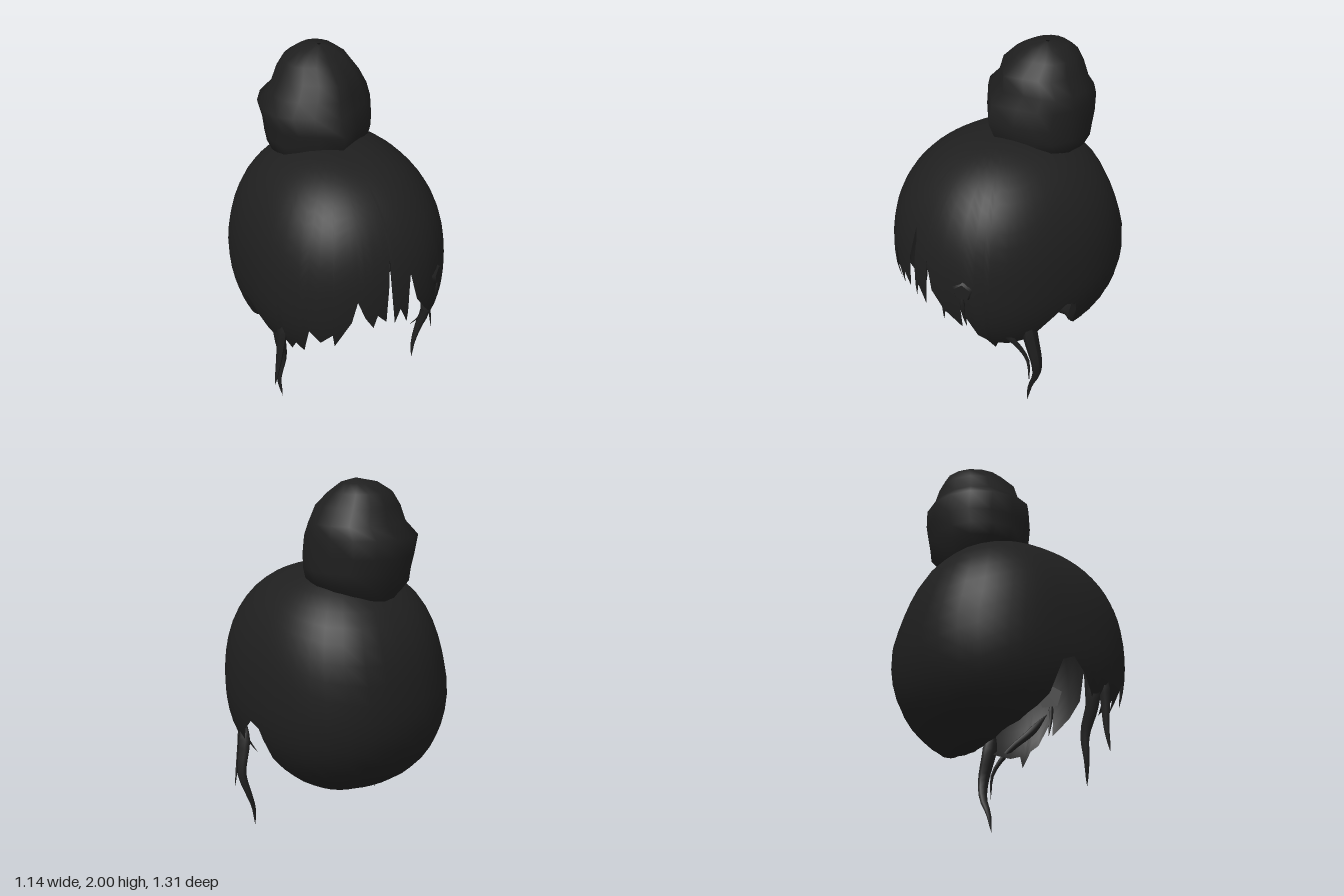
import * as THREE from 'three';

const hair = new THREE.MeshStandardMaterial({ color: 0x1f1f1f, side: THREE.DoubleSide });
hair.name = 'black hair';

// Cap proportions: a slightly squared ellipsoid
const RX = 0.57, RZ = 0.655, UP = 0.67, DOWN = 0.615, MID = 0.85, N = 2.3;
const rad = THREE.MathUtils.degToRad;
const rest = (k) => Math.pow(Math.max(0, 1 - Math.pow(Math.abs(k), N)), 1 / N);
const sine = (y) => (y - MID) / (y > MID ? UP : DOWN);

// Point on the cap at an azimuth (0 = front) and sine of elevation
function capPoint(azimuth, s, scale = 1) {
  const sx = Math.sin(azimuth), cz = Math.cos(azimuth);
  const r = scale * rest(s) * Math.pow(Math.abs(sx / RX) ** N + Math.abs(cz / RZ) ** N, -1 / N);
  const slope = cz < 0 && s > 0 ? 1 - 0.08 * Math.sin(Math.PI * s) : 1;
  return [sx * r, MID + scale * s * (s > 0 ? UP : DOWN), cz * r * slope];
}

// Azimuth in degrees of a point on the front of the cap
function azimuthOf(x, y) {
  const h = rest(sine(y));
  return THREE.MathUtils.radToDeg(Math.atan2(x, rest(x / (RX * h)) * RZ * h));
}

// Skin over rings, listed from top to bottom
function loft(rings, closed = true) {
  const n = rings[0].length, index = [];
  for (let i = 0; i < rings.length - 1; i++) {
    for (let j = 0; j < (closed ? n : n - 1); j++) {
      const k = (j + 1) % n;
      const a = i * n + j, b = a + n, c = (i + 1) * n + k, d = i * n + k;
      index.push(a, b, c, a, c, d);
    }
  }
  const g = new THREE.BufferGeometry();
  g.setAttribute('position', new THREE.Float32BufferAttribute(rings.flat(2), 3));
  g.setIndex(index);
  g.computeVertexNormals();
  return g;
}

// Split the gaps of a hem of [azimuth, height] into short steps
function fill(hem, step) {
  const columns = [];
  for (let i = 0; i < hem.length - 1; i++) {
    const [a, y] = hem[i], [b, w] = hem[i + 1];
    const count = Math.ceil((b - a) / step);
    for (let k = 0; k < count; k++) columns.push([a + (b - a) * k / count, y + (w - y) * k / count]);
  }
  return columns;
}

// Nape edge from behind the ear to the middle of the back
const nape = [[95, 0.66], [97, 0.6], [100, 0.49], [106, 0.43], [118, 0.355], [140, 0.29], [160, 0.27], [180, 0.265]];

function capGeometry() {
  // Fringe tips and notches as x, y across the forehead
  const fringe = [
    [-0.36, 0.62], [-0.315, 0.69], [-0.295, 0.6], [-0.23, 0.78], [-0.2, 0.91], [-0.16, 0.8],
    [-0.11, 0.72], [-0.09, 0.8], [-0.035, 0.74], [-0.025, 0.95], [-0.005, 1.13], [0.02, 0.71],
    [0.05, 0.8], [0.1, 0.69], [0.115, 1.0], [0.16, 0.82], [0.23, 0.72], [0.31, 0.62], [0.325, 0.75],
  ].map(([x, y]) => [azimuthOf(x, y), y]);
  // Temples as azimuth, height
  const leftSide = [[37, 0.56], [41, 0.52], [44, 0.38], [47, 0.48], [53, 0.46], [64, 0.48], [70, 0.53]];
  const rightSide = [[-41, 0.7], [-46, 0.5], [-50, 0.56], [-56, 0.46], [-60, 0.6], [-66, 0.5], [-72, 0.55]];
  const back = [[79, 0.62], [88, 0.69], ...nape];
  const hem = [...fringe, ...leftSide, ...rightSide, ...back, ...back.map(([a, y]) => [-a, y])]
    .sort((p, q) => p[0] - q[0]);
  const columns = fill(hem, 10);

  const rows = 18, rings = [];
  for (let i = 0; i <= rows; i++) {
    rings.push(columns.map(([a, y]) => {
      const e = THREE.MathUtils.lerp(Math.PI / 2 - 0.01, Math.asin(sine(y)), i / rows);
      return capPoint(rad(a), Math.sin(e));
    }));
  }
  const g = loft(rings);
  // Normals of the smooth form, so the jagged hem leaves no creases
  const { position: p, normal } = g.attributes, v = new THREE.Vector3();
  const slope = (d, r) => Math.sign(d) * Math.pow(Math.abs(d / r), N - 1) / r;
  for (let i = 0; i < p.count; i++) {
    const dy = p.getY(i) - MID;
    v.set(slope(p.getX(i), RX), slope(dy, dy > 0 ? UP : DOWN), slope(p.getZ(i), RZ)).normalize();
    normal.setXYZ(i, v.x, v.y, v.z);
  }
  return g;
}

// Rolled edge of the back hair and its lining
function liningGeometry() {
  const half = nape.map(([a, y]) => [360 - a, y]).reverse();
  const columns = [...fill([...nape, ...half.slice(1)], 10), half.at(-1)];
  const ring = (scale, elevation) => columns.map(([a, y]) => {
    const e = elevation(Math.asin(sine(y)));
    return capPoint(rad(a), Math.sin(e), scale);
  });
  const rings = [ring(1, (e) => e), ring(0.98, (e) => e - 0.03), ring(0.95, (e) => e - 0.03), ring(0.93, (e) => e)];
  for (let i = 1; i <= 7; i++) rings.push(ring(0.93, (e) => THREE.MathUtils.lerp(e, 0.4, i / 7)));
  return loft(rings, false);
}

function bunGeometry() {
  // height, centre x, radius x, centre z, radius z
  const levels = [
    [2.0, 0.03, 0.01, -0.23, 0.01], [1.98, 0.02, 0.1, -0.24, 0.11], [1.93, 0.01, 0.175, -0.235, 0.18],
    [1.86, 0.005, 0.225, -0.205, 0.245], [1.77, 0.01, 0.27, -0.21, 0.26], [1.7, -0.015, 0.31, -0.21, 0.315],
    [1.6, -0.005, 0.295, -0.195, 0.33], [1.52, 0, 0.295, -0.195, 0.3], [1.45, 0, 0.28, -0.2, 0.29],
    [1.36, 0, 0.19, -0.2, 0.24],
  ];
  const sides = 16;
  return loft(levels.map(([y, cx, rx, cz, rz]) => Array.from({ length: sides }, (_, j) => {
    const a = j / sides * Math.PI * 2;
    // The front comes to a blunt point
    const depth = Math.min(Math.cos(a), 1 - 0.6 * Math.abs(Math.sin(a)));
    return [cx + rx * Math.sin(a), y, cz + rz * depth];
  })));
}

// Hanging lock: a tube that tapers to a point
function strandGeometry(points, radius) {
  const curve = new THREE.CatmullRomCurve3(points.map((p) => new THREE.Vector3(...p)));
  const steps = 14, sides = 6;
  const g = new THREE.TubeGeometry(curve, steps, 1, sides);
  const pos = g.attributes.position, v = new THREE.Vector3();
  for (let i = 0; i <= steps; i++) {
    const t = i / steps, c = curve.getPointAt(t);
    const r = radius * Math.pow(1 - t, 0.7) * Math.min(1, 0.05 + 5 * t);
    for (let j = 0; j <= sides; j++) {
      const k = i * (sides + 1) + j;
      v.fromBufferAttribute(pos, k).sub(c).multiplyScalar(r);
      pos.setXYZ(k, c.x + v.x * 0.7, c.y + v.y, c.z + v.z);
    }
  }
  g.computeVertexNormals();
  return g;
}

export function createModel() {
  const model = new THREE.Group();
  model.name = 'hairstyle';
  const add = (name, geometry, parent = model) => {
    const mesh = new THREE.Mesh(geometry, hair);
    mesh.name = name;
    parent.add(mesh);
    return mesh;
  };

  add('hairCap', capGeometry());
  add('backLining', liningGeometry());
  add('topBun', bunGeometry());

  // Loose locks in front of the ears
  add('leftLock', strandGeometry([[0.47, 0.66, 0.23], [0.485, 0.5, 0.21], [0.515, 0.33, 0.19],
    [0.485, 0.21, 0.17], [0.445, 0.11, 0.18], [0.43, 0, 0.19]], 0.055));
  add('leftTempleLock', strandGeometry([[0.33, 0.76, 0.52], [0.37, 0.64, 0.43], [0.44, 0.52, 0.32],
    [0.505, 0.38, 0.25], [0.525, 0.23, 0.25]], 0.03));
  add('rightFrontLock', strandGeometry([[-0.47, 0.7, 0.29], [-0.49, 0.5, 0.28], [-0.505, 0.36, 0.27],
    [-0.53, 0.22, 0.27]], 0.045));
  add('rightLock', strandGeometry([[-0.48, 0.68, 0.23], [-0.46, 0.48, 0.21], [-0.435, 0.33, 0.18],
    [-0.455, 0.17, 0.17], [-0.44, 0.04, 0.18]], 0.055));

  // Five-sided ornament over the left temple, point up and facing outward
  const ornament = new THREE.Group();
  ornament.name = 'hairOrnament';
  ornament.position.set(0.33, 0.875, 0.55);
  ornament.rotation.y = 0.65;
  const disc = new THREE.CylinderGeometry(0.05, 0.08, 0.04, 5).rotateY(Math.PI).rotateX(Math.PI / 2);
  add('ornamentPlate', disc, ornament);
  model.add(ornament);
  add('ornamentSpike', strandGeometry([[0.335, 0.85, 0.56], [0.33, 0.74, 0.55], [0.315, 0.62, 0.52]], 0.02));

  return model;
}
